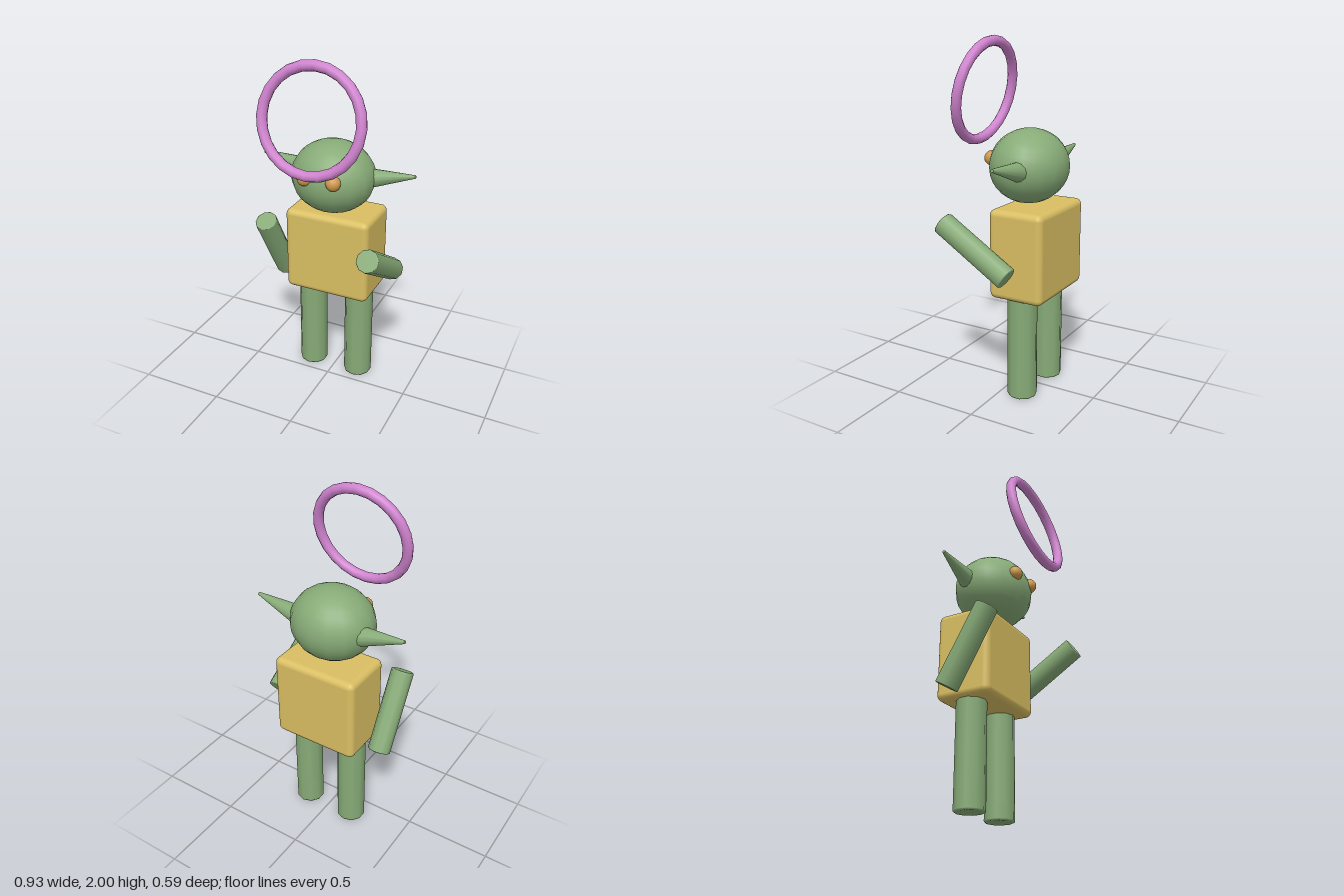
import * as THREE from 'three';
import { RoundedBoxGeometry } from 'three/addons/geometries/RoundedBoxGeometry.js';

const flat = (name, color) => {
  const m = new THREE.MeshStandardMaterial({ color });
  m.name = name;
  return m;
};

// Closed rod along y, centred on the origin, with a small bevel at both rims
function rod(radius, length, sides = 10, bevel = 0.008) {
  const h = length / 2, e = 0.001;
  const half = [[0, h], [radius - bevel - e, h], [radius - bevel, h], [radius - bevel * 0.3, h - bevel * 0.3],
    [radius, h - bevel], [radius, h - bevel - e]];
  const profile = [
    ...half.map(([x, y]) => new THREE.Vector2(x, -y)),
    ...half.slice().reverse().map(([x, y]) => new THREE.Vector2(x, y)),
  ];
  return new THREE.LatheGeometry(profile, sides);
}

export function createModel() {
  const model = new THREE.Group();
  model.name = 'figure';
  const green = flat('green skin', 0x87ab77);
  const yellow = flat('yellow tunic', 0xd9be62);
  const orange = flat('orange eyes', 0xd09a4c);
  const pink = flat('pink ring', 0xd083cf);

  const add = (name, geometry, material, x, y, z) => {
    const mesh = new THREE.Mesh(geometry, material);
    mesh.name = name;
    mesh.position.set(x, y, z);
    model.add(mesh);
    return mesh;
  };

  // Body and head
  add('torso', new RoundedBoxGeometry(0.51, 0.505, 0.325, 3, 0.035), yellow, 0, 0.84, -0.125);
  add('head', new THREE.SphereGeometry(1, 16, 16), green, 0, 1.302, -0.078).scale.set(0.242, 0.207, 0.219);

  // Mirrored legs, ears and eyes
  for (const [side, s] of [['left', 1], ['right', -1]]) {
    add(side + 'Leg', rod(0.084, 0.62), green, s * 0.151, 0.31, -0.121);
    add(side + 'Eye', new THREE.SphereGeometry(0.042, 14, 10), orange, s * 0.085, 1.34, 0.113);

    const base = new THREE.Vector3(s * 0.2, 1.303, -0.125);
    const tip = new THREE.Vector3(s * 0.461, 1.356, -0.125);
    const dir = tip.clone().sub(base);
    const mid = base.clone().add(tip).multiplyScalar(0.5);
    const ear = add(side + 'Ear', new THREE.CylinderGeometry(0.009, 0.056, dir.length(), 12), green, mid.x, mid.y, mid.z);
    ear.quaternion.setFromUnitVectors(new THREE.Vector3(0, 1, 0), dir.normalize());
  }

  // Arms, each swung forward by its own angle
  const arm = rod(0.064, 0.474, 10, 0.005);
  add('leftArm', arm, green, 0.35, 0.885, 0.063).rotation.x = THREE.MathUtils.degToRad(58);
  add('rightArm', arm, green, -0.35, 0.816, -0.033).rotation.x = THREE.MathUtils.degToRad(30);

  // Floating ring, tilted back
  add('ring', new THREE.TorusGeometry(0.279, 0.029, 10, 24), pink, 0, 1.695, 0.204)
    .rotation.x = THREE.MathUtils.degToRad(-11.4);

  return model;
}
